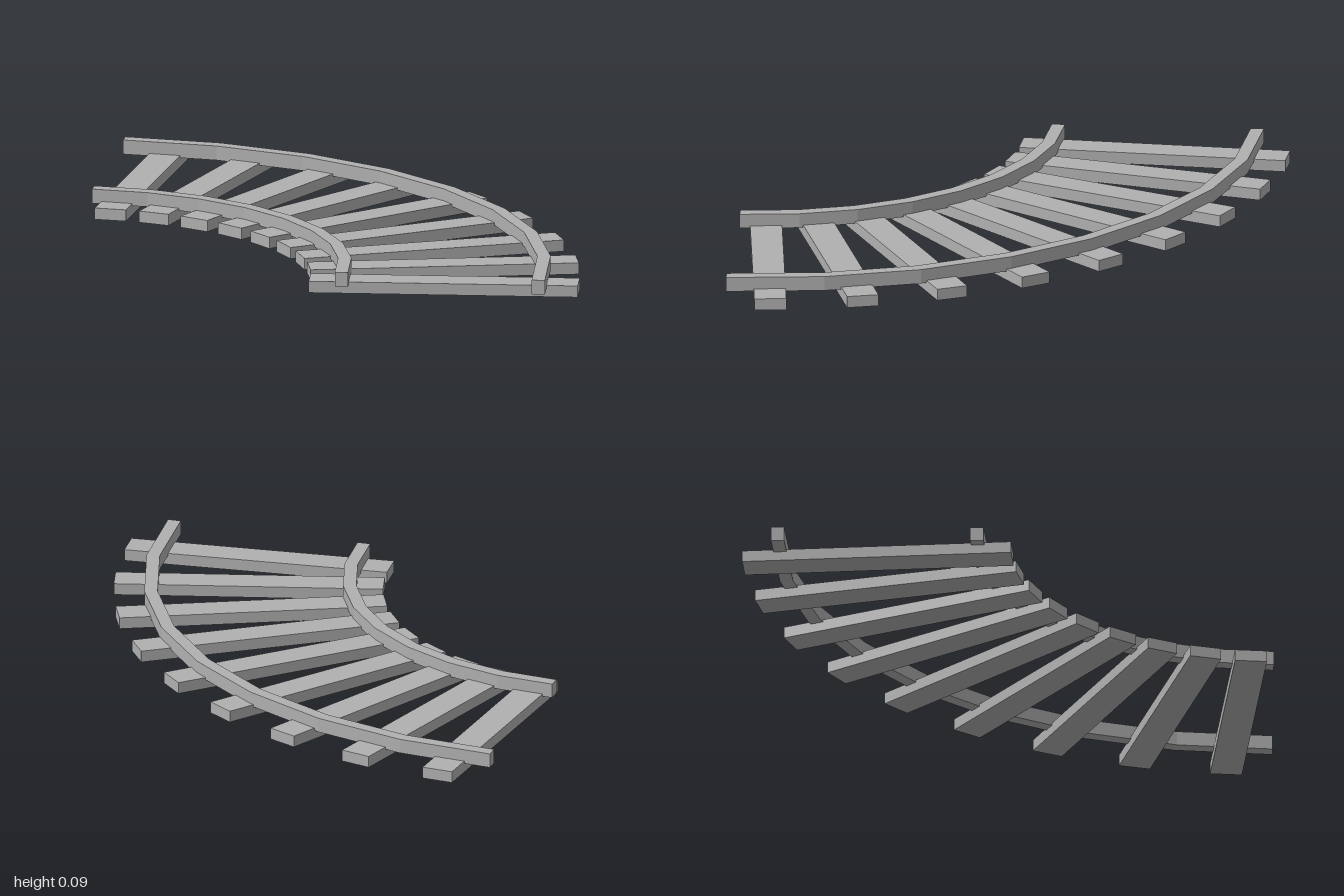
import * as THREE from 'three';

const SEGMENTS = 8;            // straight pieces per rail
const SLEEPERS = 9;
const QUARTER = Math.PI / 2;

// Faceted quarter-ring rail centred on the bend's pivot
function makeRail(radius, width, bottom, height, material) {
  const points = [];
  const addArc = (r, reversed) => {
    for (let i = 0; i <= SEGMENTS; i++) {
      const a = QUARTER * (reversed ? SEGMENTS - i : i) / SEGMENTS;
      points.push(new THREE.Vector2(r * Math.cos(a), r * Math.sin(a)));
    }
  };
  addArc(radius + width / 2, false);
  addArc(radius - width / 2, true);
  const geometry = new THREE.ExtrudeGeometry(new THREE.Shape(points), { depth: height, bevelEnabled: false });
  geometry.rotateX(-Math.PI / 2);
  geometry.translate(0, bottom, 0);
  return new THREE.Mesh(geometry, material);
}

export function createModel() {
  const model = new THREE.Group();
  model.name = 'curvedTrack';
  const grey = new THREE.MeshStandardMaterial({ color: 0xb0b0b0 });
  grey.name = 'grey';

  // Everything turns about the corner of the bend
  const bend = new THREE.Group();
  bend.name = 'bend';
  bend.position.set(-1, 0, 1);
  model.add(bend);

  // Rails
  for (const [name, radius] of [['innerRail', 1.12], ['outerRail', 1.868]]) {
    const rail = makeRail(radius, 0.05, 0.035, 0.055, grey);
    rail.name = name;
    bend.add(rail);
  }

  // Sleepers fanned out under the rails
  const inner = 0.99, outer = 2.002, height = 0.044;
  const sleeperGeometry = new THREE.BoxGeometry(outer - inner, height, 0.12);
  sleeperGeometry.translate((inner + outer) / 2, height / 2, 0);
  for (let i = 0; i < SLEEPERS; i++) {
    const sleeper = new THREE.Mesh(sleeperGeometry, grey);
    sleeper.name = `sleeper${i + 1}`;
    sleeper.rotation.y = QUARTER * (i + 0.5) / SLEEPERS;
    bend.add(sleeper);
  }
  return model;
}
